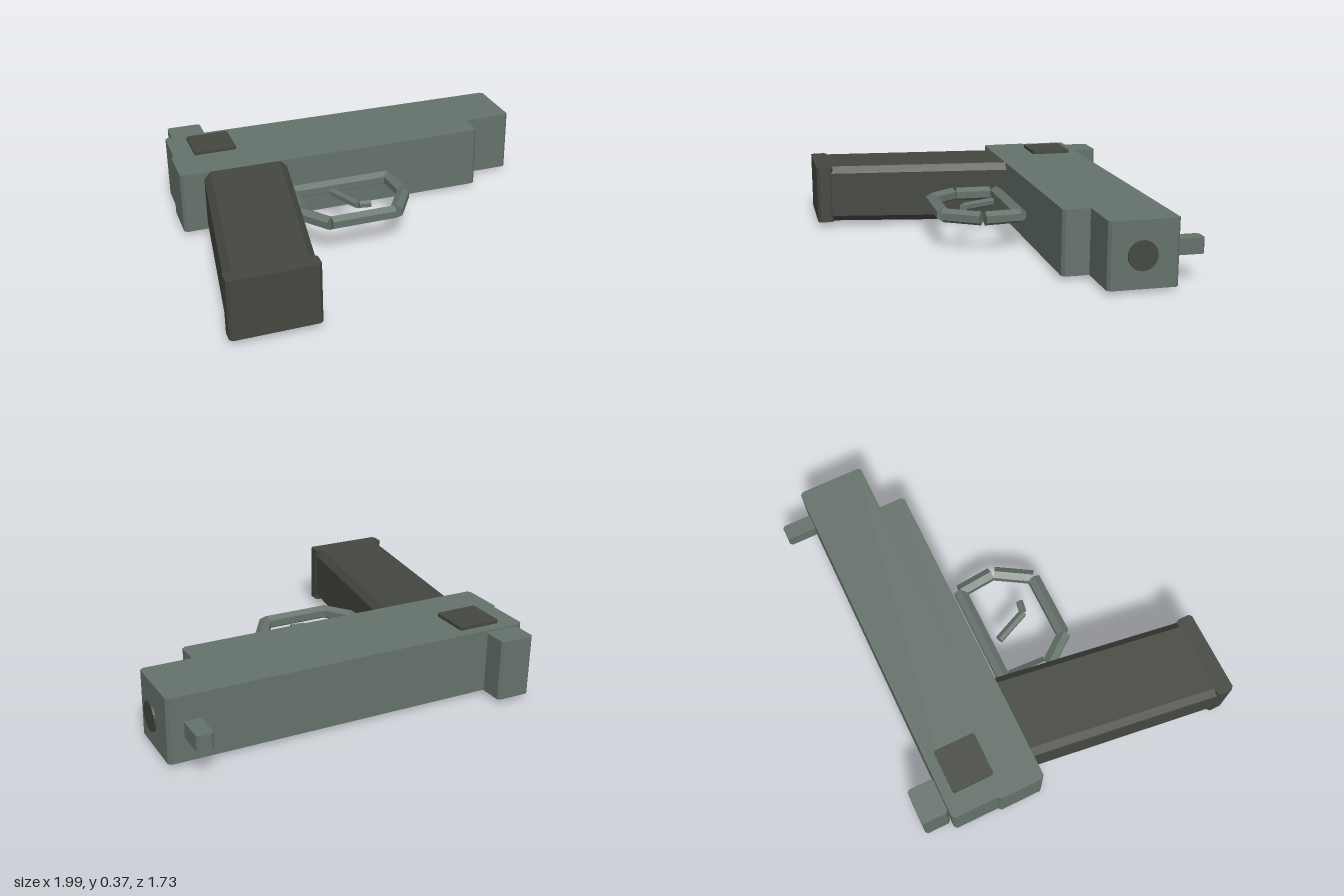
import * as THREE from 'three';

const MID = 0.186; // height of the plane of symmetry

export function createModel() {
  const group = new THREE.Group();
  const steel = new THREE.MeshStandardMaterial({ color: 0x65726b, flatShading: true });
  steel.name = 'greyGreenSteel';
  const dark = new THREE.MeshStandardMaterial({ color: 0x444740, flatShading: true });
  dark.name = 'darkGrip';

  const add = (name, geometry, material) => {
    const mesh = new THREE.Mesh(geometry, material);
    mesh.name = name;
    group.add(mesh);
    return mesh;
  };

  // Rectangle with cut corners
  const cutRect = (x0, x1, y0, y1, c) => new THREE.Shape([
    [x0 + c, y0], [x1 - c, y0], [x1, y0 + c], [x1, y1 - c],
    [x1 - c, y1], [x0 + c, y1], [x0, y1 - c], [x0, y0 + c],
  ].map(([x, y]) => new THREE.Vector2(x, y)));

  // Slab drawn in plan (x, z), thickened along y about its centre height
  const slab = (name, x0, x1, z0, z1, half, cut, material, y = MID) => {
    const g = new THREE.ExtrudeGeometry(cutRect(x0, x1, -z1, -z0, cut),
      { depth: half * 2, bevelEnabled: false });
    g.rotateX(-Math.PI / 2);
    g.translate(0, y - half, 0);
    return add(name, g, material);
  };

  // Six-sided bar between two plan points, with one edge facing up
  const bar = (name, [xa, za], [xb, zb], r, material) => {
    const dx = xb - xa, dz = zb - za;
    const g = new THREE.CylinderGeometry(r, r, Math.hypot(dx, dz), 6);
    g.rotateX(-Math.PI / 2);
    g.rotateY(Math.atan2(dx, dz));
    g.translate((xa + xb) / 2, MID, (za + zb) / 2);
    return add(name, g, material);
  };

  // Slide, frame and sights
  slab('slide', -0.97, 0.975, -0.705, -0.35, 0.168, 0.015, steel);
  slab('frame', -0.985, 0.71, -0.46, -0.21, 0.1675, 0.015, steel);
  slab('rearSight', -0.93, -0.745, -0.85, -0.71, 0.16, 0.012, steel);
  slab('frontSight', 0.81, 0.895, -0.865, -0.7, 0.04, 0.012, steel);

  // Dark side plates
  for (const side of [-1, 1]) {
    slab('sidePlate', -0.86, -0.63, -0.65, -0.43, 0.009, 0.008, dark, MID + side * 0.176);
  }

  // Muzzle disc
  const disc = new THREE.CylinderGeometry(0.074, 0.074, 0.01, 24);
  disc.rotateZ(Math.PI / 2);
  disc.translate(0.99, MID, -0.515);
  add('muzzle', disc, dark);

  // Raked grip: chamfered section, leaned back and slightly tapered
  const grip = new THREE.ExtrudeGeometry(cutRect(-0.225, 0.225, -0.167, 0.167, 0.037),
    { depth: 1, bevelEnabled: false });
  const p = grip.attributes.position;
  for (let i = 0; i < p.count; i++) {
    const t = p.getZ(i);
    p.setXYZ(i,
      -0.633 - 0.139 * t + p.getX(i) * (1 - 0.03 * t),
      MID + p.getY(i) * (1 - 0.05 * t),
      -0.212 + 0.992 * t);
  }
  grip.computeVertexNormals();
  add('grip', grip, dark);
  slab('gripBase', -0.998, -0.55, 0.77, 0.86, 0.158, 0.015, dark);

  // Trigger guard
  [
    [[-0.405, -0.147], [0.14, -0.147]],
    [[0.142, -0.145], [0.16, 0.047]],
    [[0.155, 0.065], [0.045, 0.245]],
    [[0.035, 0.244], [-0.31, 0.244]],
    [[-0.315, 0.25], [-0.425, 0.105]],
    [[-0.418, 0.085], [-0.408, -0.11]],
  ].forEach(([a, b]) => bar('triggerGuard', a, b, 0.038, steel));

  // Trigger
  bar('trigger', [-0.195, -0.075], [-0.115, 0.105], 0.023, steel);
  bar('triggerTip', [-0.11, 0.107], [-0.05, 0.117], 0.021, steel);

  return group;
}
